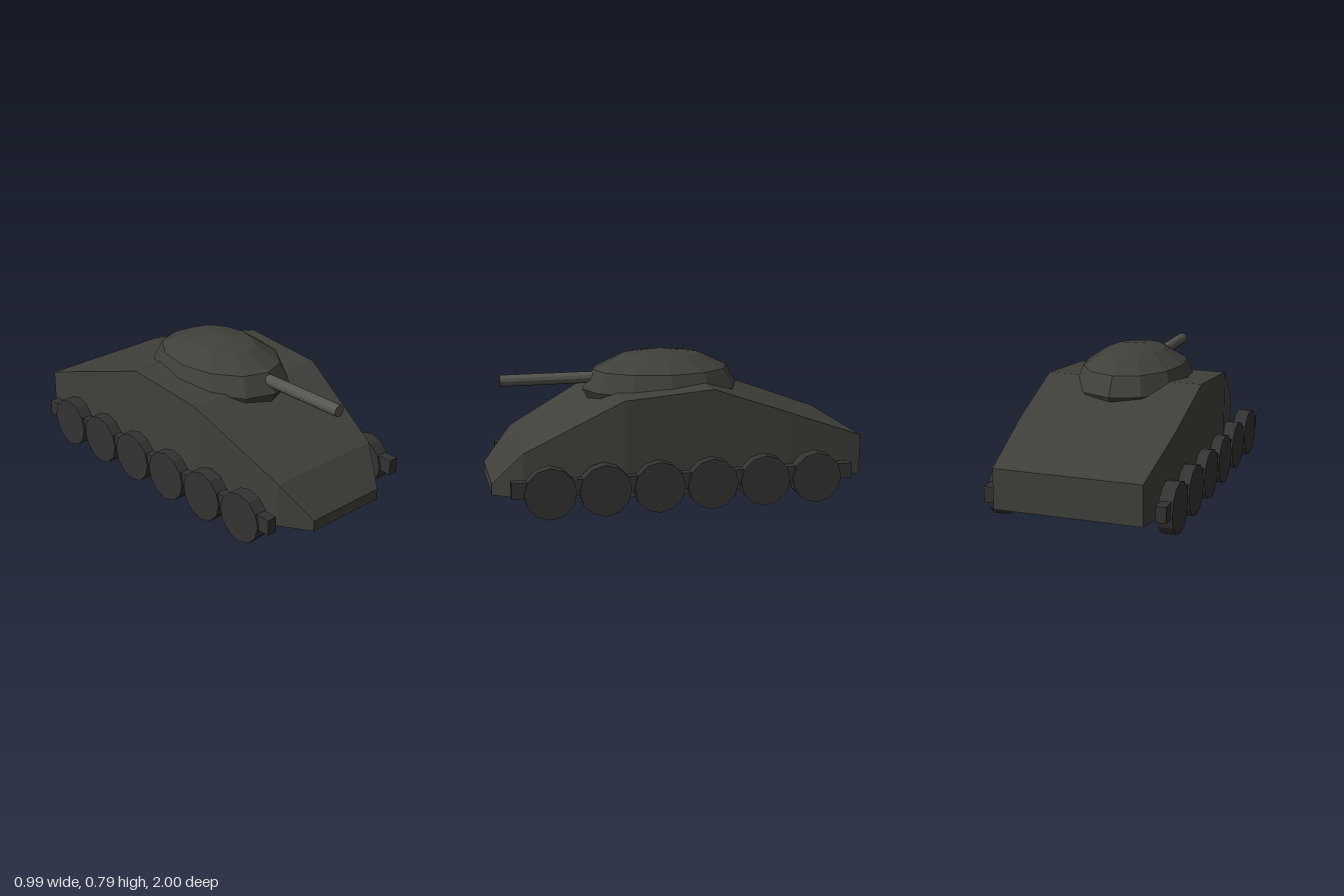
import * as THREE from 'three';

const paint = (color) => new THREE.MeshStandardMaterial({ color, flatShading: true });

function addMesh(parent, name, geometry, material, x = 0, y = 0, z = 0) {
  const mesh = new THREE.Mesh(geometry, material);
  mesh.name = name;
  mesh.position.set(x, y, z);
  parent.add(mesh);
  return mesh;
}

// Faceted hull lofted through rectangular sections, front to back
function hullGeometry() {
  // z, half width, bottom, top
  const sections = [
    [1, 0.24, 0.08, 0.14],
    [0.84, 0.34, 0.08, 0.32],
    [0.32, 0.437, 0.08, 0.595],
    [-0.16, 0.437, 0.08, 0.635],
    [-0.58, 0.427, 0.1, 0.488],
    [-1, 0.395, 0.12, 0.335],
  ];
  const rings = sections.map(([z, w, b, t]) => [[-w, b, z], [w, b, z], [w, t, z], [-w, t, z]]);
  const points = [];
  const quad = (a, b, c, d) => points.push(...a, ...b, ...c, ...a, ...c, ...d);
  for (let i = 0; i < rings.length - 1; i++) {
    const front = rings[i], back = rings[i + 1];
    for (let j = 0; j < 4; j++) {
      const k = (j + 1) % 4;
      quad(front[j], back[j], back[k], front[k]);
    }
  }
  const last = rings[rings.length - 1];
  quad(...rings[0]);
  quad(last[3], last[2], last[1], last[0]);
  const geometry = new THREE.BufferGeometry();
  geometry.setAttribute('position', new THREE.Float32BufferAttribute(points, 3));
  geometry.computeVertexNormals();
  return geometry;
}

export function createModel() {
  const model = new THREE.Group();
  model.name = 'tank';
  const armour = paint(0x40403b);
  const dark = paint(0x333331);
  const steel = paint(0x55554f);

  addMesh(model, 'hull', hullGeometry(), armour);

  // Turret: a flattened, stretched low-poly dome
  const dome = new THREE.SphereGeometry(1, 12, 6).scale(0.317, 0.21, 0.437);
  addMesh(model, 'turret', dome, armour, 0, 0.583, 0.035);

  // Gun barrel pointing forward
  const barrel = new THREE.CylinderGeometry(0.032, 0.032, 0.62, 12).rotateX(Math.PI / 2);
  addMesh(model, 'gunBarrel', barrel, steel, 0, 0.645, 0.61);

  // Running gear, the same on both sides
  const wheel = new THREE.CylinderGeometry(0.137, 0.137, 0.075, 12).rotateZ(Math.PI / 2);
  const bar = new THREE.BoxGeometry(0.055, 0.085, 1.84);
  for (const side of [1, -1]) {
    const gear = new THREE.Group();
    gear.name = side > 0 ? 'leftRunningGear' : 'rightRunningGear';
    addMesh(gear, 'axleBar', bar, dark, side * 0.458, 0.163, 0);
    for (let i = 0; i < 6; i++) {
      addMesh(gear, 'roadWheel', wheel, dark, side * 0.458, 0.137, 0.72 - i * 0.288);
    }
    model.add(gear);
  }
  return model;
}
